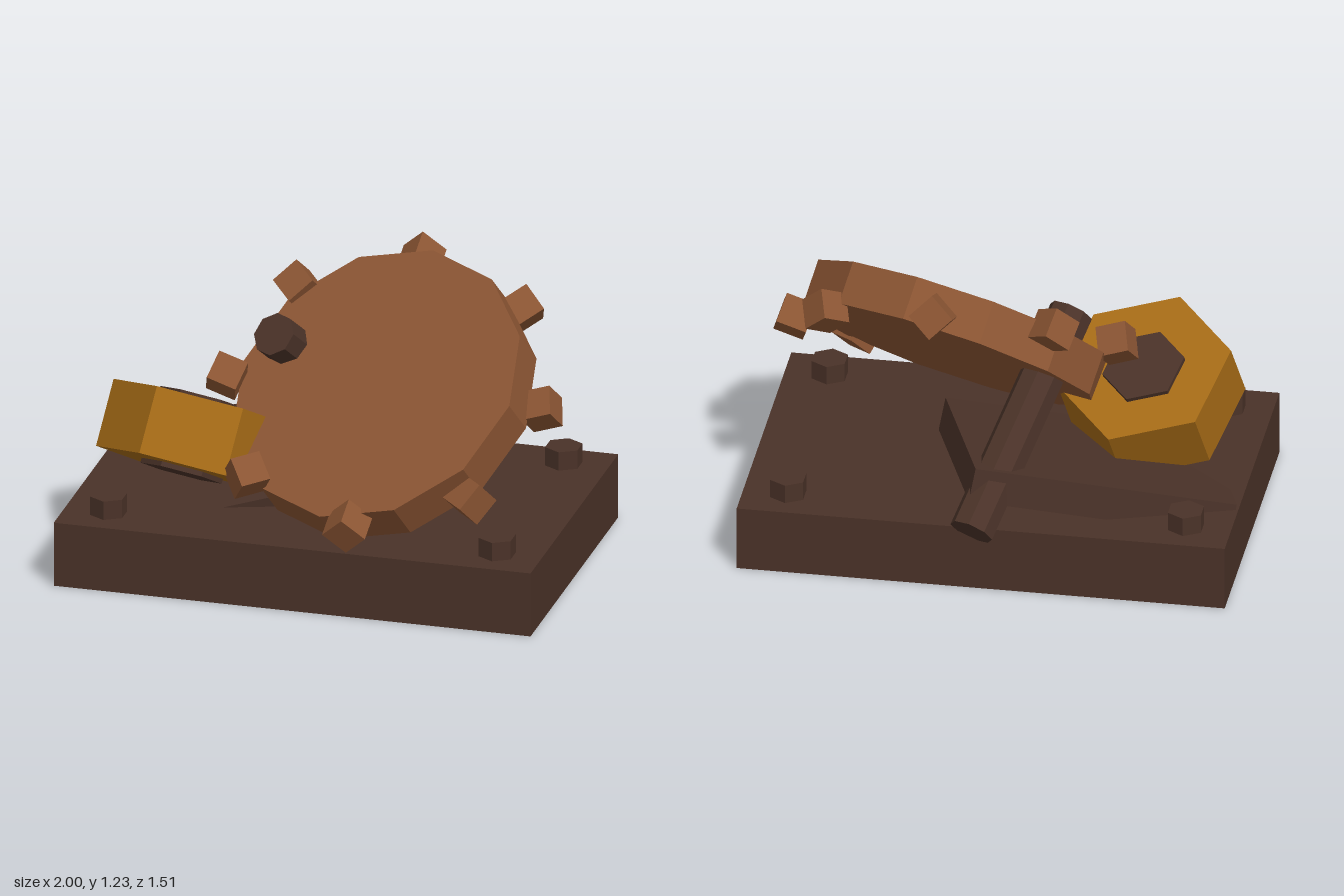
import * as THREE from 'three';

const material = (color) => new THREE.MeshStandardMaterial({ color, flatShading: true });
const V = (x, y, z) => new THREE.Vector3(x, y, z);

export function createModel() {
  const model = new THREE.Group();
  const iron = material(0x4a3228);
  const rust = material(0x8b5533);
  const brass = material(0xa66b16);

  const add = (name, geometry, mat, x, y, z) => {
    const mesh = new THREE.Mesh(geometry, mat);
    mesh.name = name;
    mesh.position.set(x, y, z);
    model.add(mesh);
    return mesh;
  };

  // Turns a mesh so its own y runs along up and its z towards front
  const orient = (mesh, up, front) => {
    const y = up.clone().normalize();
    const x = new THREE.Vector3().crossVectors(y, front).normalize();
    const z = new THREE.Vector3().crossVectors(x, y);
    mesh.quaternion.setFromRotationMatrix(new THREE.Matrix4().makeBasis(x, y, z));
    return mesh;
  };

  // Base plate with four corner bolts
  add('basePlate', new THREE.BoxGeometry(2, 0.275, 1.315), iron, 0, 0.1375, 0.0225);
  for (const x of [-0.815, 0.815])
    for (const z of [-0.48, 0.52])
      add('cornerBolt', new THREE.CylinderGeometry(0.078, 0.078, 0.16, 6), iron, x, 0.275, z);

  // Slab half sunk in the base
  orient(add('fallenSlab', new THREE.BoxGeometry(1.09, 0.14, 0.8), iron, -0.347, 0.296, -0.095),
    V(-0.169, 0.971, 0.193), V(0.314, -0.132, 0.941));

  // Bar that props up the gear and comes out through its face
  const foot = V(0.03, 0.285, -0.685);
  const tip = V(-0.255, 0.93, 0.045);
  const mid = foot.clone().add(tip).multiplyScalar(0.5);
  orient(add('propBar', new THREE.CylinderGeometry(0.092, 0.092, foot.distanceTo(tip), 8), iron, mid.x, mid.y, mid.z),
    tip.clone().sub(foot), V(1, 0, 0));

  // Leaning gear disc
  const discGeometry = new THREE.CylinderGeometry(0.63, 0.63, 0.18, 12).rotateY(-Math.PI / 18);
  add('gearDisc', discGeometry, rust, 0.23, 0.747, 0.115).rotation.set(0.68, 0, 0.22);

  // Eight cube teeth, each standing on edge around the rim
  for (let i = 0; i < 8; i++) {
    const c = Math.cos(i * Math.PI / 4);
    const s = Math.sin(i * Math.PI / 4);
    const tooth = add('gearTooth', new THREE.BoxGeometry(0.127, 0.127, 0.127), rust,
      0.23 + 0.66 * c, 0.76 - 0.365 * s, 0.12 + 0.555 * s);
    tooth.lookAt(tooth.position.clone().add(V(0.66 * c, 0.22 * c * c - 0.24 * s, 0.56 * s)));
    tooth.rotateZ(Math.PI / 4);
  }

  // Tilted hex nut with a hex core showing at both ends
  const hex = (name, radius, height, mat) =>
    orient(add(name, new THREE.CylinderGeometry(radius, radius, height, 6), mat, -0.557, 0.52, 0.205),
      V(0.13, 0.86, -0.46), V(-0.27, 0.49, 0.84));
  hex('hexNut', 0.36, 0.28, brass);
  hex('nutCore', 0.17, 0.32, iron);

  return model;
}
